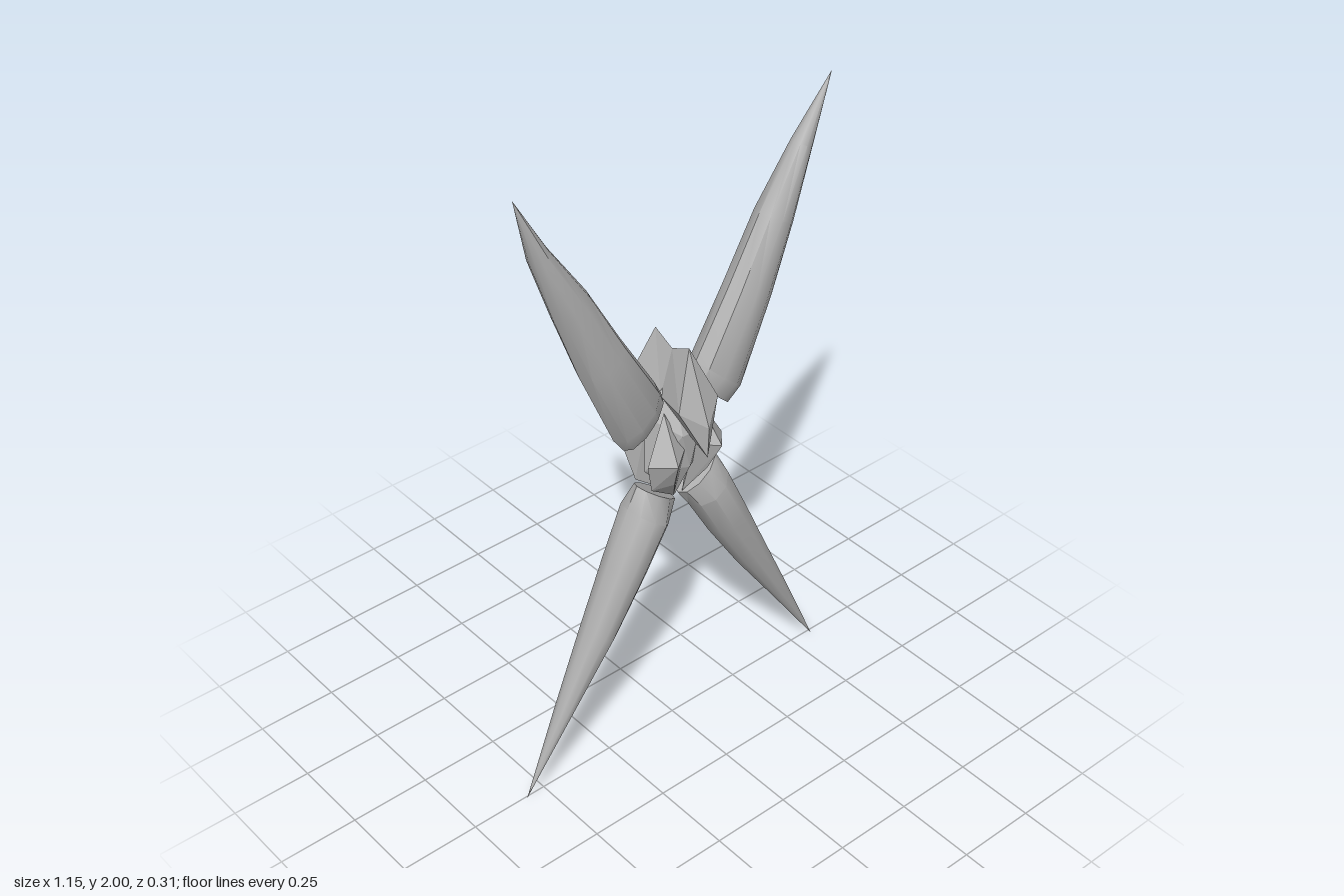
import * as THREE from 'three';
import { toCreasedNormals } from 'three/addons/utils/BufferGeometryUtils.js';
import { ConvexGeometry } from 'three/addons/geometries/ConvexGeometry.js';

const grey = new THREE.MeshStandardMaterial({ color: 0xb0b0b0 });
grey.name = 'grey stone';

// Joins rings of points (base to tip); first and last rings close on a centre point.
function loft(rings, startPoint, endPoint, flip) {
  const n = rings[0].length, pos = [startPoint, ...rings.flat(), endPoint].flat(), idx = [];
  const last = rings.length * n + 1;
  const tri = (a, b, c) => (flip ? idx.push(a, c, b) : idx.push(a, b, c));
  for (let i = 0; i < n; i++) {
    const j = (i + 1) % n;
    tri(0, 1 + j, 1 + i);
    for (let r = 0; r < rings.length - 1; r++) {
      const p = 1 + r * n, q = p + n;
      tri(p + i, p + j, q + j);
      tri(p + i, q + j, q + i);
    }
    tri(last - n + i, last - n + j, last);
  }
  const g = new THREE.BufferGeometry();
  g.setAttribute('position', new THREE.Float32BufferAttribute(pos, 3));
  g.setIndex(idx);
  return g;
}

// Sections: inner edge x, y, outer edge x, y, half depth
const upperSections = [
  [0.05, 1.22, 0.185, 1.09, 0.045],
  [0.075, 1.27, 0.22, 1.14, 0.07],
  [0.19, 1.46, 0.33, 1.395, 0.064],
  [0.3, 1.655, 0.405, 1.6, 0.056],
  [0.42, 1.83, 0.475, 1.8, 0.033],
];
const lowerSections = [
  [0.01, 0.85, 0.14, 0.945, 0.045],
  [0.05, 0.79, 0.175, 0.88, 0.075],
  [0.13, 0.65, 0.25, 0.72, 0.068],
  [0.245, 0.47, 0.335, 0.53, 0.056],
  [0.4, 0.25, 0.45, 0.28, 0.03],
];

function spike(sections, side, tipX, tipY) {
  const sides = 10, zc = 0.012;
  const rings = sections.map(([ax, ay, bx, by, depth]) =>
    Array.from({ length: sides }, (_, i) => {
      const a = (i / sides) * Math.PI * 2, c = Math.cos(a) / 2;
      return [side * ((ax + bx) / 2 + (bx - ax) * c), (ay + by) / 2 + (by - ay) * c, zc + depth * Math.sin(a)];
    }));
  const [ax, ay, bx, by] = sections[0];
  const base = [side * (ax + bx) / 2, (ay + by) / 2, zc];
  const tip = [side * tipX, tipY, 0.015];
  // Winding follows the turn from section axis to spike axis
  const ux = side * (bx - ax), uy = by - ay;
  const flip = uy * (tip[0] - base[0]) - ux * (tip[1] - base[1]) < 0;
  return toCreasedNormals(loft(rings, base, tip, flip), 0.65);
}

function hull(points) {
  return new ConvexGeometry(points.map((p) => new THREE.Vector3(...p)));
}

export function createModel() {
  const model = new THREE.Group();
  model.name = 'crossed spikes';
  const add = (geometry, name) => {
    const m = new THREE.Mesh(geometry, grey);
    m.name = name;
    model.add(m);
  };

  // Four long spikes
  add(spike(upperSections, 1, 0.547, 2), 'upperLeftSpike');
  add(spike(upperSections, -1, 0.52, 2), 'upperRightSpike');
  add(spike(lowerSections, 1, 0.573, 0), 'lowerLeftSpike');
  add(spike(lowerSections, -1, 0.573, 0.01), 'lowerRightSpike');

  // Central core
  add(hull([
    [0, 1.26, 0], [0, 0.85, 0.012],
    [0.1, 1.16, 0], [-0.1, 1.16, 0], [0.11, 0.98, 0.01], [-0.11, 0.98, 0.01],
    [0.03, 1.1, 0.08], [-0.03, 1.1, 0.08], [0.03, 1.1, -0.07], [-0.03, 1.1, -0.07],
    [0, 0.98, 0.075], [0, 0.98, -0.06],
  ]), 'core');

  // Four angular shards around the core
  for (const sx of [1, -1]) {
    for (const sz of [1, -1]) {
      add(hull([
        [0.06, 1.17, 0.03], [0.135, 1.03, 0.05], [0.08, 1.04, 0.115],
        [0.018, 1.05, 0.07], [0.015, 0.86, 0.02], [0.11, 0.93, 0.035],
        [0.06, 0.95, 0.075],
      ].map(([x, y, z]) => [sx * x, y, sz * z + 0.005])),
      (sz > 0 ? 'front' : 'back') + (sx > 0 ? 'Left' : 'Right') + 'Shard');
    }
  }

  // Crest: kite-shaped front and back faces joined by a waisted bridge
  const kite = (s) => [[0, 1.375, 0.07 * s], [-0.07, 1.21, 0.11 * s], [0, 1.055, 0.15 * s], [0.07, 1.21, 0.11 * s]];
  const waist = [[0, 1.34, 0], [-0.042, 1.2, 0], [0, 1.12, 0], [0.042, 1.2, 0]];
  const crest = loft([kite(-1), waist, kite(1)], [0, 1.155, -0.155], [0, 1.155, 0.155], false);
  add(toCreasedNormals(crest, 0.1), 'crest');

  return model;
}
